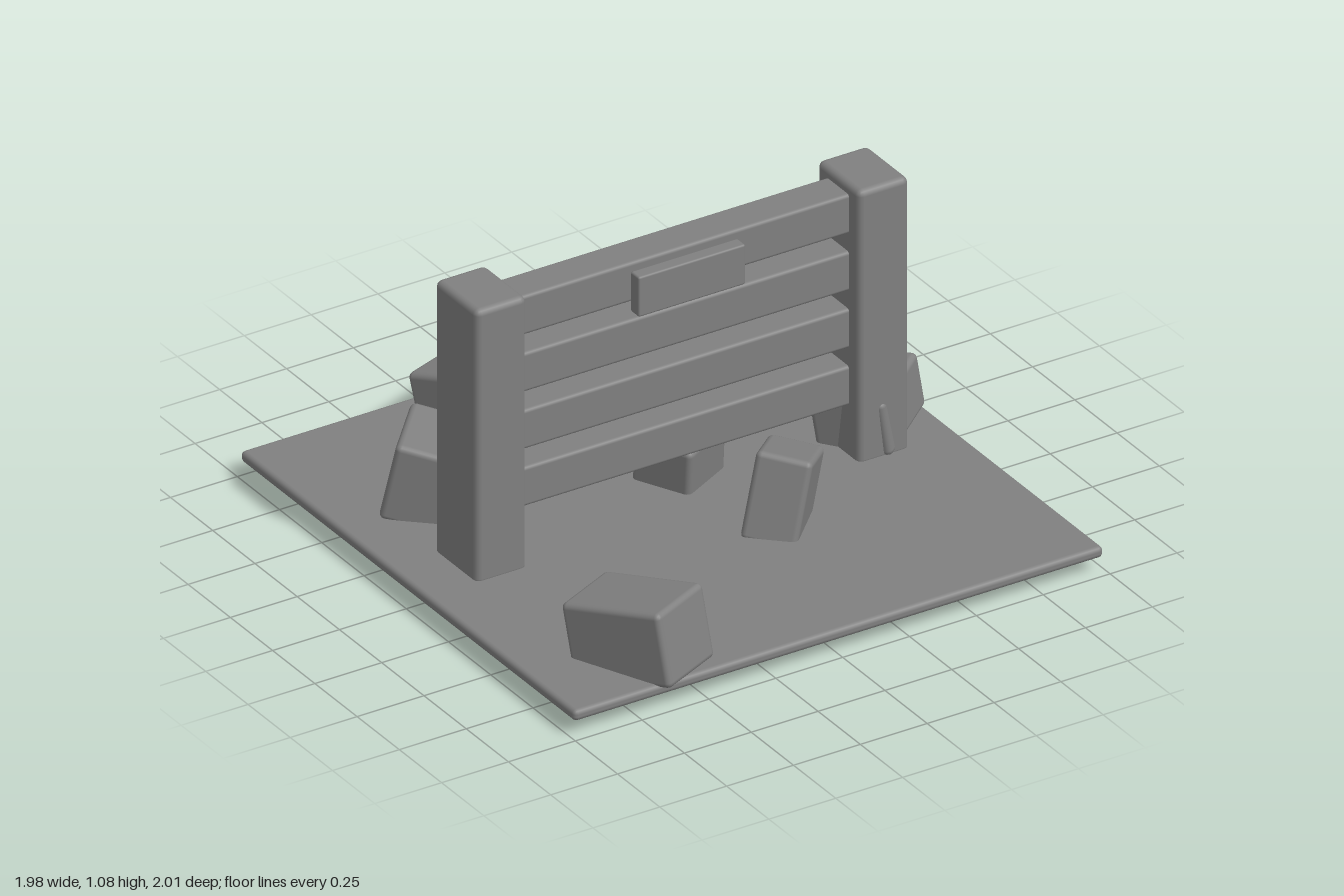
import * as THREE from 'three';
import { RoundedBoxGeometry } from 'three/addons/geometries/RoundedBoxGeometry.js';

const stone = new THREE.MeshStandardMaterial({ color: 0x808080 });
stone.name = 'stone grey';

function block(name, w, h, d, radius, x, y, z) {
  const mesh = new THREE.Mesh(new RoundedBoxGeometry(w, h, d, 2, radius), stone);
  mesh.name = name;
  mesh.position.set(x, y, z);
  return mesh;
}

// A tilted block: centre of its top face, the two edges of that face, and its thickness
function rock(name, top, edgeU, edgeV, h) {
  const u = new THREE.Vector3(...edgeU);
  const v = new THREE.Vector3(...edgeV);
  const w = u.length(), d = v.length();
  const xAxis = u.normalize();
  const yAxis = v.clone().cross(xAxis).normalize();
  const zAxis = xAxis.clone().cross(yAxis);
  const mesh = block(name, w, h, d, 0.02, 0, 0, 0);
  mesh.quaternion.setFromRotationMatrix(new THREE.Matrix4().makeBasis(xAxis, yAxis, zAxis));
  mesh.position.set(...top).addScaledVector(yAxis, -h / 2);
  return mesh;
}

export function createModel() {
  const model = new THREE.Group();
  model.name = 'fenceWithRocks';

  // Ground slab
  model.add(block('groundSlab', 1.98, 0.04, 1.98, 0.016, 0, 0.087, -0.01));

  // Fence posts
  for (const [side, name] of [[1, 'leftPost'], [-1, 'rightPost']]) {
    model.add(block(name, 0.19, 1.0, 0.25, 0.022, side * 0.715, 0.59, -0.01));
  }

  // Horizontal rails
  for (let i = 0; i < 4; i++) {
    model.add(block('rail', 1.26, 0.143, 0.135, 0.012, 0, 0.36 + i * 0.208, -0.01));
  }

  // Blank sign plate
  model.add(block('signPlate', 0.4, 0.145, 0.05, 0.007, 0, 0.955, 0.085));

  // Scattered rocks
  const rocks = [
    ['frontLeftRock', [-0.635, 0.325, 0.755], [0.24, 0, -0.11], [0.15, 0.07, 0.34], 0.26],
    ['frontRock', [0.265, 0.347, 0.275], [0.15, -0.055, -0.16], [0.13, -0.025, 0.13], 0.3],
    ['backSideRock', [-0.56, 0.335, -0.325], [0.31, -0.09, 0.28], [-0.21, 0, 0.21], 0.28],
    ['backRock', [-0.26, 0.335, -0.79], [0.34, 0, -0.12], [0.09, 0.06, 0.22], 0.27],
    ['cornerRock', [0.58, 0.345, -0.72], [0.26, -0.06, 0.26], [-0.185, -0.02, 0.175], 0.3],
    ['flatRock', [0.505, 0.285, -0.52], [0.43, 0, 0.005], [0, -0.02, 0.57], 0.15],
    ['slabRock', [0.01, 0.3, -0.53], [0.33, 0.07, 0.21], [-0.31, -0.11, 0.465], 0.19],
    ['middleRock', [0.1, 0.285, -0.12], [0.2, 0.02, -0.1], [0.1, -0.02, 0.19], 0.23],
    ['postRock', [0.75, 0.3, -0.07], [0.25, 0.03, -0.19], [0.15, 0.03, 0.21], 0.2],
  ];
  for (const r of rocks) model.add(rock(...r));

  return model;
}
